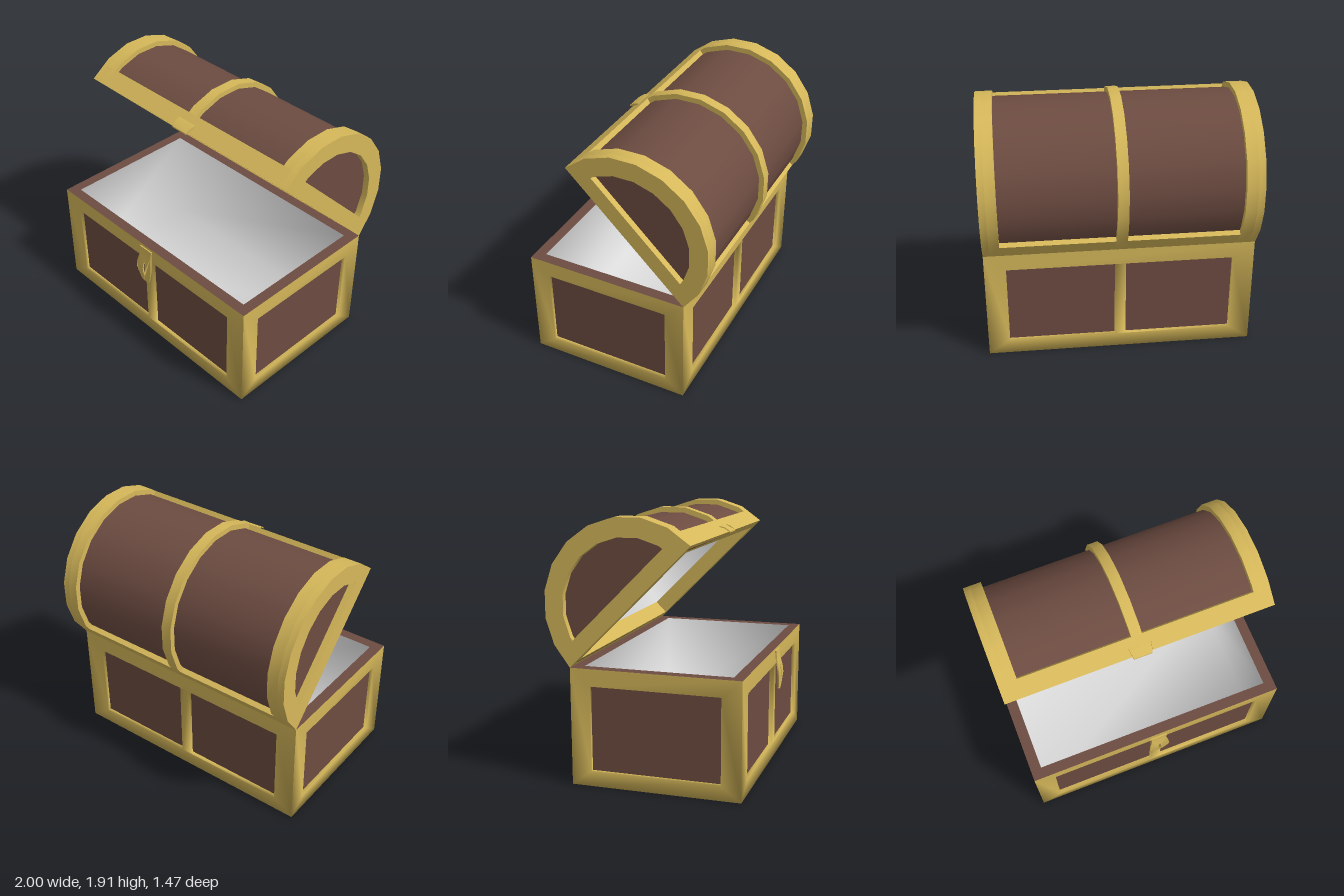
import * as THREE from 'three';
import { toCreasedNormals } from 'three/addons/utils/BufferGeometryUtils.js';

const mat = (name, color) => Object.assign(new THREE.MeshStandardMaterial({ color }), { name });

// Mesh from flat polygons; normals are smoothed over shared corners unless split(p) is true
function skin(name, material, faces, split = () => false) {
  const pos = [], keys = [], sums = {};
  for (const f of faces) {
    for (let i = 1; i < f.length - 1; i++) {
      const tri = [f[0], f[i], f[i + 1]].map(p => new THREE.Vector3(...p));
      const n = tri[1].clone().sub(tri[0]).cross(tri[2].clone().sub(tri[0]));
      const dir = n.clone().normalize().toArray().map(v => Math.round(v * 10)).join();
      for (const p of tri) {
        const key = p.toArray().map(v => Math.round(v * 1000)).join() + (split(p) ? '|' + dir : '');
        (sums[key] ??= new THREE.Vector3()).add(n);
        pos.push(p.x, p.y, p.z);
        keys.push(key);
      }
    }
  }
  const geo = new THREE.BufferGeometry();
  geo.setAttribute('position', new THREE.Float32BufferAttribute(pos, 3));
  const normals = keys.flatMap(k => sums[k].clone().normalize().toArray());
  geo.setAttribute('normal', new THREE.Float32BufferAttribute(normals, 3));
  const mesh = new THREE.Mesh(geo, material);
  mesh.name = name;
  return mesh;
}

// Rectangle corners at height y, anticlockwise from above
const ring = (hx, z0, z1, y) => [[-hx, y, z1], [hx, y, z1], [hx, y, z0], [-hx, y, z0]];
const band = (a, b) => a.map((p, i) => [p, a[(i + 1) % 4], b[(i + 1) % 4], b[i]]);
const flip = faces => faces.map(f => [...f].reverse());

// Points on a ten-sided half circle between two angles in degrees
const R = 0.622, STEP = 18;
function arc(r, a0 = 0, a1 = 180) {
  const angles = [a0];
  for (let a = STEP; a < 180; a += STEP) if (a > a0 && a < a1) angles.push(a);
  angles.push(a1);
  return angles.map(a => {
    const d = THREE.MathUtils.degToRad((a % STEP) - STEP / 2), t = THREE.MathUtils.degToRad(a);
    const q = r * Math.cos(Math.PI * STEP / 360) / Math.cos(d);
    return new THREE.Vector2(q * Math.cos(t), q * Math.sin(t));
  });
}

// Shape extruded along x from x0 to x1
function along(name, material, shape, x0, x1) {
  const geo = new THREE.ExtrudeGeometry(shape, { depth: x1 - x0, bevelEnabled: false });
  geo.rotateY(Math.PI / 2).translate(x0, 0, 0);
  const mesh = new THREE.Mesh(toCreasedNormals(geo, 0.6), material);
  mesh.name = name;
  return mesh;
}
const arch = (r0, r1, a0, a1) => new THREE.Shape([...arc(r1, a0, a1), ...arc(r0, a0, a1).reverse()]);

function createBase(gold, wood, lining) {
  const base = new THREE.Group();
  base.name = 'base';
  const H = 0.855, Z0 = -0.56, Z1 = 0.68, ZC = 0.06, DEPTH = 0.03;
  const frame = [], panels = [];
  const wide = [[-0.84, -0.04], [0.04, 0.84]], narrow = [[-0.475, 0.475]];
  const walls = [
    { L: 1, rects: wide, at: (s, y, d) => [s, y, Z1 - d] },
    { L: 0.62, rects: narrow, at: (s, y, d) => [1 - d, y, ZC - s] },
    { L: 1, rects: wide, at: (s, y, d) => [-s, y, Z0 + d] },
    { L: 0.62, rects: narrow, at: (s, y, d) => [d - 1, y, ZC + s] },
  ];
  const corners = (a, b, y0, y1, d, at) => [at(a, y0, d), at(b, y0, d), at(b, y1, d), at(a, y1, d)];
  for (const { L, rects, at } of walls) {
    // Frame border, centre bar and sunken panels
    const a = rects[0][0], b = rects.at(-1)[1];
    frame.push(...band(corners(-L, L, 0, H, 0, at), corners(a, b, 0.11, 0.73, 0, at)));
    if (rects.length > 1) frame.push(corners(rects[0][1], rects[1][0], 0.11, 0.73, 0, at));
    for (const [s0, s1] of rects) {
      const back = corners(s0, s1, 0.11, 0.73, DEPTH, at);
      frame.push(...band(corners(s0, s1, 0.11, 0.73, 0, at), back));
      panels.push(back);
    }
  }
  frame.push(ring(1, Z0, Z1, 0).reverse());
  base.add(skin('baseFrame', gold, frame, p => p.y > 0.8));
  base.add(skin('basePanels', wood, panels, () => true));

  // Rim and hollow inside
  const inner = ring(0.92, -0.48, 0.6, H), floor = ring(0.92, -0.48, 0.6, 0.06);
  base.add(skin('baseRim', wood, band(ring(1, Z0, Z1, H), inner)));
  base.add(skin('baseLining', lining, [floor, ...band(inner, floor)]));
  return base;
}

function createLid(gold, wood, lining) {
  const lid = new THREE.Group();
  lid.name = 'lid';

  // Barrel with hoops and lips
  lid.add(along('lidBarrel', wood, arch(0.57, 0.582, 0, 180), -0.95, 0.95));
  for (const [x0, x1] of [[-0.95, -0.865], [-0.04, 0.04], [0.875, 0.95]])
    lid.add(along('lidHoop', gold, arch(0.57, R, 0, 180), x0, x1));
  for (const [a0, a1] of [[0, 13], [167, 180]])
    lid.add(along('lidLip', gold, arch(0.57, R, a0, a1), -0.95, 0.95));

  // End frames with sunken panels
  for (const side of [-1, 1]) {
    const end = new THREE.Shape(arc(R));
    end.holes.push(new THREE.Path(arc(0.485, 14.4, 165.6)));
    lid.add(along('lidEndFrame', gold, end, side > 0 ? 0.95 : -1, side > 0 ? 1 : -0.95));
    const geo = new THREE.ShapeGeometry(new THREE.Shape(arc(0.5, 12, 168)));
    const panel = new THREE.Mesh(geo.rotateY(side * Math.PI / 2).translate(side * 0.952, 0, 0), wood);
    panel.name = 'lidEndPanel';
    lid.add(panel);
  }

  // Rim, inner border and vaulted lining
  const hz = 0.545, depth = 0.12;
  const low = ring(0.92, -hz, hz, 0), high = ring(0.92, -hz, hz, depth);
  lid.add(skin('lidRim', gold, flip(band(ring(1, -R, R, 0), low))));
  lid.add(skin('lidInnerBorder', gold, band(high, low), () => true));
  const r = Math.hypot(hz, depth), t0 = Math.atan2(depth, hz), n = 10;
  const curve = x => Array.from({ length: n + 1 }, (_, i) => {
    const t = t0 + (Math.PI - 2 * t0) * i / n;
    return [x, r * Math.sin(t), r * Math.cos(t)];
  });
  const left = curve(-0.92), right = curve(0.92), vault = [right, [...left].reverse()];
  for (let i = 0; i < n; i++) vault.push([left[i + 1], right[i + 1], right[i], left[i]]);
  lid.add(skin('lidLining', lining, vault));

  // Opened by 45 degrees about the back edge
  lid.position.set(0, 0.855 + R * Math.SQRT1_2, -0.56 + R * Math.SQRT1_2);
  lid.rotation.x = -Math.PI / 4;
  return lid;
}

// Thin plate with a mirrored outline of [half width, height] points
function plate(name, material, half, hole, bend) {
  const pts = [...half, ...half.map(([x, y]) => [-x, y]).reverse()];
  const shape = new THREE.Shape(pts.map(p => new THREE.Vector2(...p)));
  if (hole) shape.holes.push(hole);
  const geo = new THREE.ExtrudeGeometry(shape, { depth: 0.01, bevelEnabled: false });
  const pos = geo.attributes.position;
  for (let i = 0; i < pos.count; i++) pos.setZ(i, pos.getZ(i) + bend(pos.getY(i)));
  const mesh = new THREE.Mesh(toCreasedNormals(geo, 0.6), material);
  mesh.name = name;
  return mesh;
}

export function createModel() {
  const gold = mat('gold', 0xd6b85a), wood = mat('brownWood', 0x6d4c41), lining = mat('paleLining', 0xe0e0e0);
  const chest = new THREE.Group();
  chest.name = 'treasureChest';
  chest.add(createBase(gold, wood, lining), createLid(gold, wood, lining));

  // Hanging hasp with a keyhole
  const hole = new THREE.Path().absellipse(0, 0.675, 0.01, 0.06, 0, Math.PI * 2);
  const hasp = [[0.015, 0.55], [0.04, 0.56], [0.06, 0.61], [0.075, 0.66], [0.08, 0.7], [0.07, 0.75], [0.057, 0.8], [0.065, 0.855]];
  chest.add(plate('hasp', gold, hasp, hole, y =>
    0.696 + 0.028 * THREE.MathUtils.smoothstep(0.855 - y, 0.02, 0.19) - 0.01 * THREE.MathUtils.smoothstep(0.67 - y, 0, 0.12)));

  // Curved catch on the lid lip
  const catchPlate = plate('lidCatch', gold, [[0.068, -0.08], [0.078, -0.04], [0.085, 0]], null, y => -6 * y * y);
  catchPlate.rotation.x = -Math.PI / 2;
  catchPlate.position.set(0, 1.772, 0.26);
  chest.add(catchPlate);
  return chest;
}
